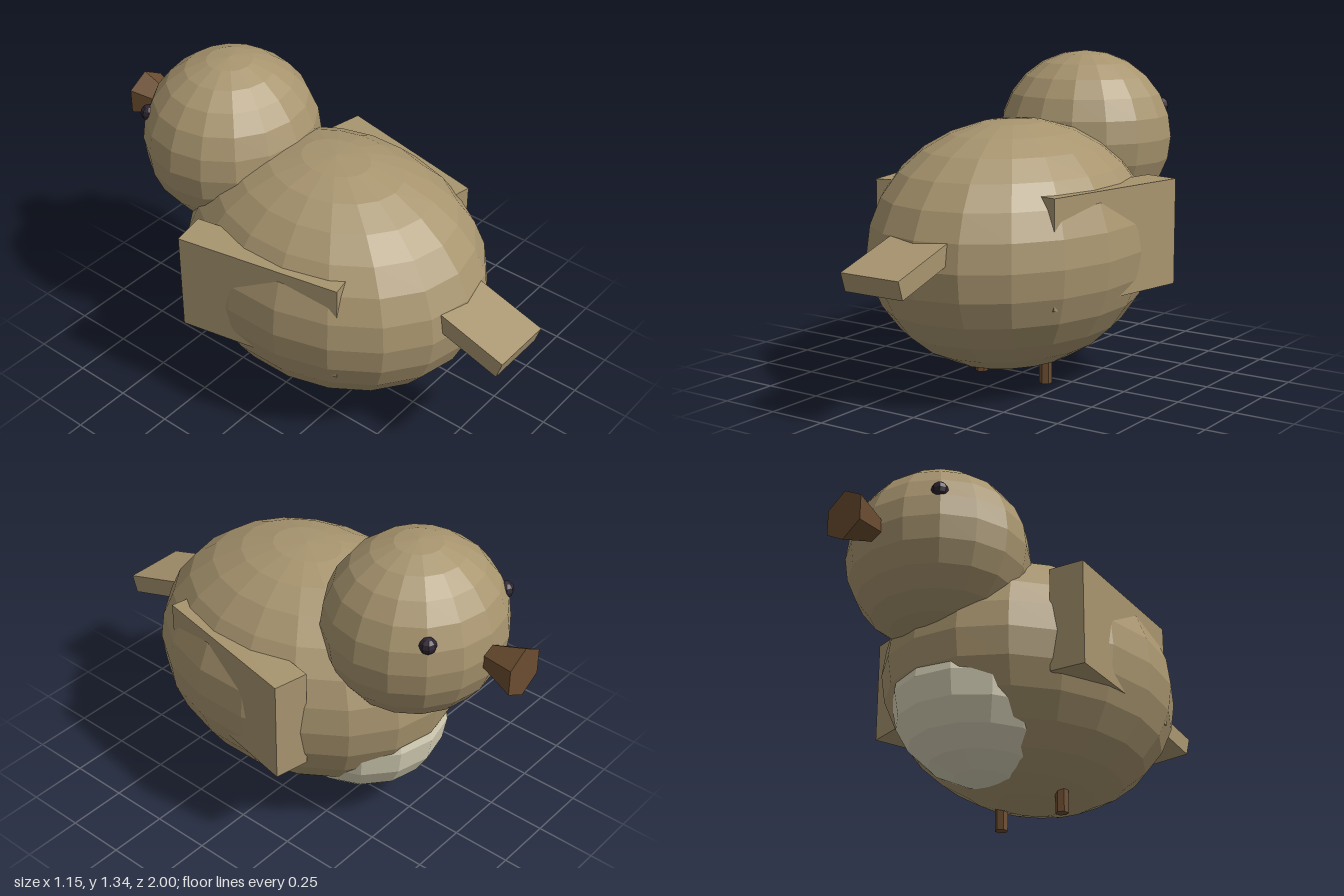
import * as THREE from 'three';

const paint = (color) => new THREE.MeshStandardMaterial({ color, flatShading: true });

export function createModel() {
  const bird = new THREE.Group();
  bird.name = 'bird';
  const plumage = paint(0xa8956f);
  const pale = paint(0xd8d2b8);
  const horn = paint(0x6b4d30);
  const dark = paint(0x2e2430);

  const add = (name, geometry, material, x, y, z) => {
    const mesh = new THREE.Mesh(geometry, material);
    mesh.name = name;
    mesh.position.set(x, y, z);
    bird.add(mesh);
    return mesh;
  };

  // Faceted ellipsoid with a column of vertices on the z axis
  const ellipsoid = (rx, ry, rz, columns, rows) =>
    new THREE.SphereGeometry(1, columns, rows).rotateY(Math.PI / 2).scale(rx, ry, rz);

  // Body, head and pale belly; the beak points to -z
  add('body', ellipsoid(0.549, 0.518, 0.683, 18, 14), plumage, 0, 0.578, 0.07);
  add('head', ellipsoid(0.382, 0.37, 0.37, 16, 12), plumage, 0, 0.97, -0.49);
  add('belly', ellipsoid(0.355, 0.335, 0.38, 14, 10), pale, 0, 0.42, -0.22);

  // Beak: six-sided cone, wide end outward
  add('beak', new THREE.ConeGeometry(0.108, 0.3, 6).rotateX(Math.PI / 2), horn, 0, 0.962, -0.85);

  // Tail: tilted slab
  const tail = add('tail', new THREE.BoxGeometry(0.274, 0.08, 0.45), plumage, 0, 0.63, 0.773);
  tail.rotation.x = 0.3;

  // Mirrored wings, legs and eyes
  for (const [side, s] of [['left', 1], ['right', -1]]) {
    const wing = add(side + 'Wing', new THREE.BoxGeometry(0.15, 0.44, 0.709), plumage, s * 0.4315, 0.632, 0.063);
    wing.rotation.y = -s * 0.2;
    add(side + 'Leg', new THREE.CylinderGeometry(0.027, 0.027, 0.2, 6), horn, s * 0.164, 0.1, 0.07);
    add(side + 'Eye', new THREE.SphereGeometry(0.035, 8, 6), dark, s * 0.246, 1.092, -0.732);
  }
  return bird;
}
